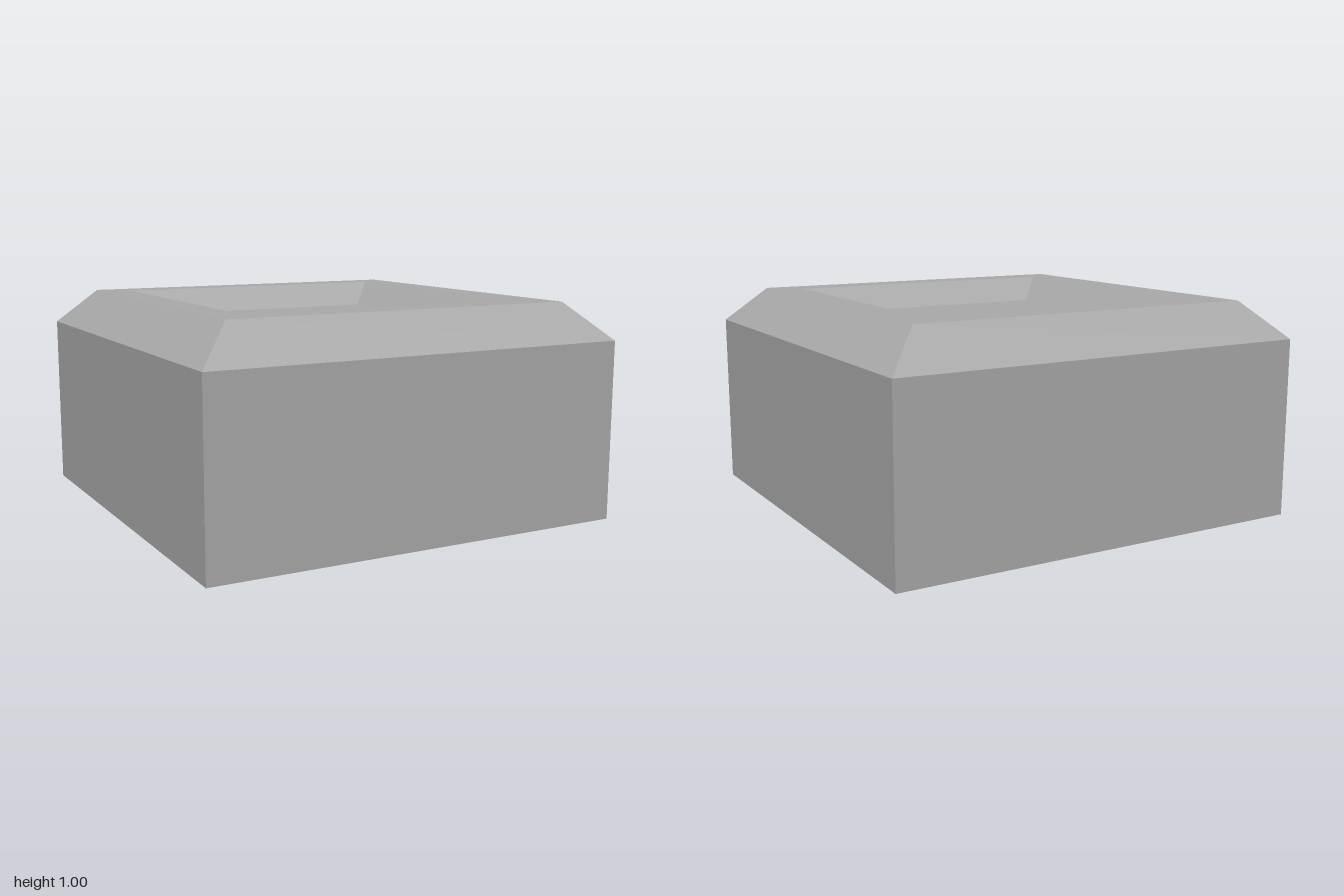
import * as THREE from 'three';

// Four-sided shell from [half-width, height] steps, ordered bottom/outside to inside
function squareShell(name, steps, material) {
  const profile = steps.map(([half, y]) => new THREE.Vector2(half * Math.SQRT2, y));
  const geometry = new THREE.LatheGeometry(profile, 4, Math.PI / 4).toNonIndexed();
  geometry.computeVertexNormals();
  const mesh = new THREE.Mesh(geometry, material);
  mesh.name = name;
  return mesh;
}

export function createModel() {
  const grey = new THREE.MeshStandardMaterial({ color: 0xaaaaaa });
  grey.name = 'grey';

  const group = new THREE.Group();
  group.name = 'bevelledBlock';
  group.add(
    // Closed base with upright walls
    squareShell('body', [[0, 0], [1, 0], [1, 0.83]], grey),
    // Sloping outer bevel and flat top frame
    squareShell('bevelledRim', [[1, 0.83], [0.83, 1], [0.69, 1]], grey),
    // Sloping inner walls down to the sunken floor
    squareShell('recess', [[0.69, 1], [0.575, 0.885], [0, 0.885]], grey),
  );
  return group;
}
